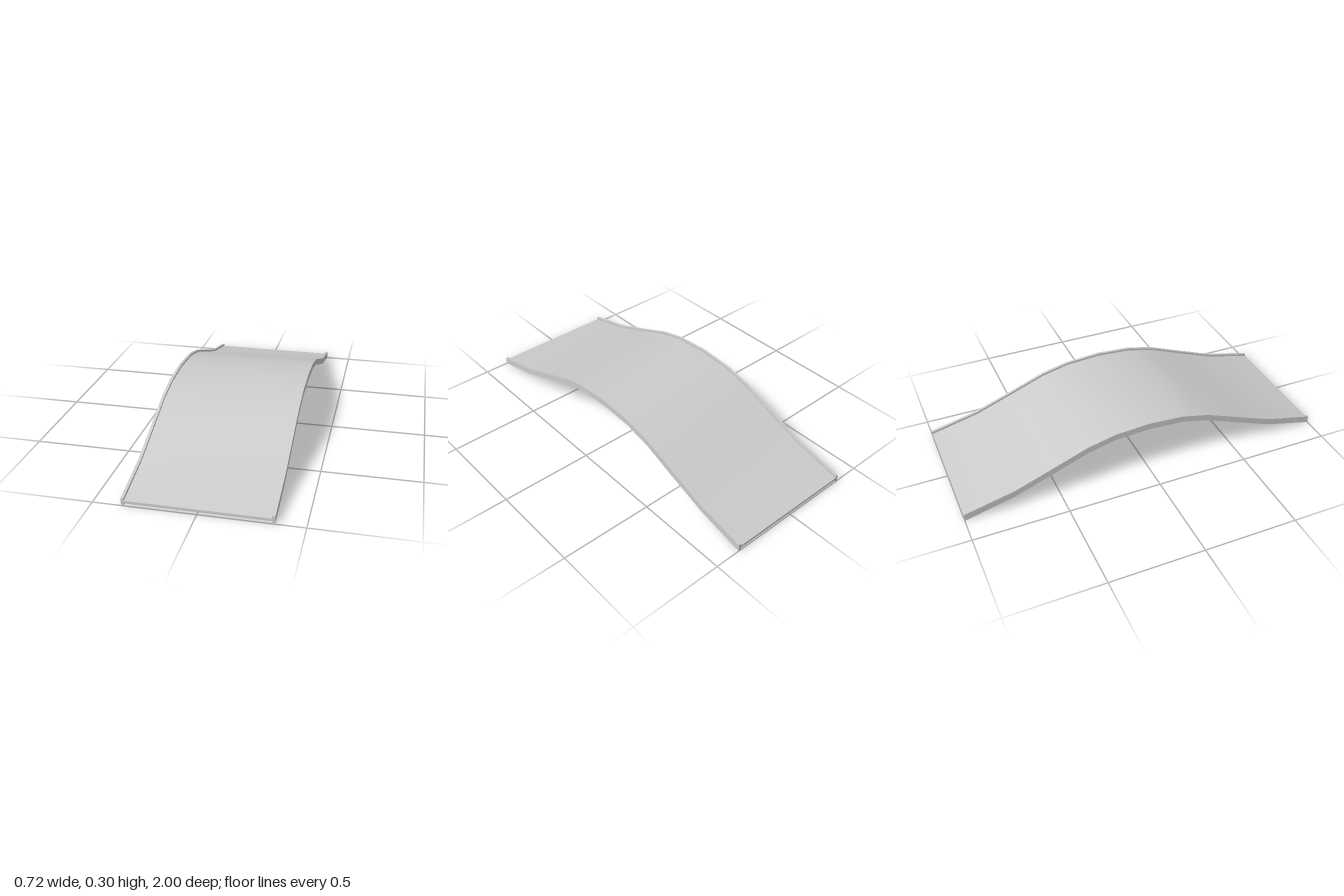
import * as THREE from 'three';
import { toCreasedNormals } from 'three/addons/utils/BufferGeometryUtils.js';

// Half of the arched side profile: z, rail top y, rail bottom y
const HALF = [
  [1, 0.04, 0],
  [0.735, 0.102, 0.066],
  [0.53, 0.179, 0.143],
  [0.34, 0.252, 0.217],
  [0.19, 0.287, 0.253],
  [0, 0.3, 0.264],
];
const STATIONS = [...HALF, ...HALF.slice(0, -1).reverse().map(([z, t, b]) => [-z, t, b])];

// Slab following the arch, between two fractions of the rail height, extruded along x
function archSlab(from, to, width) {
  const at = (f) => STATIONS.map(([z, t, b]) => new THREE.Vector2(z, b + (t - b) * f));
  const shape = new THREE.Shape([...at(to), ...at(from).reverse()]);
  const geo = new THREE.ExtrudeGeometry(shape, { depth: width, bevelEnabled: false });
  geo.translate(0, 0, -width / 2);
  geo.rotateY(-Math.PI / 2);
  return toCreasedNormals(geo, 0.6);
}

export function createModel() {
  const group = new THREE.Group();
  group.name = 'archedBridge';
  const material = new THREE.MeshStandardMaterial({ color: 0xcccccc });

  // Walking deck, set between the rails
  const deck = new THREE.Mesh(archSlab(0.34, 0.67, 0.69), material);
  deck.name = 'deck';
  group.add(deck);

  // Narrow edge rails
  const railGeometry = archSlab(0, 1, 0.015);
  for (const [name, side] of [['leftRail', 1], ['rightRail', -1]]) {
    const rail = new THREE.Mesh(railGeometry, material);
    rail.name = name;
    rail.position.x = side * 0.3525;
    group.add(rail);
  }
  return group;
}
